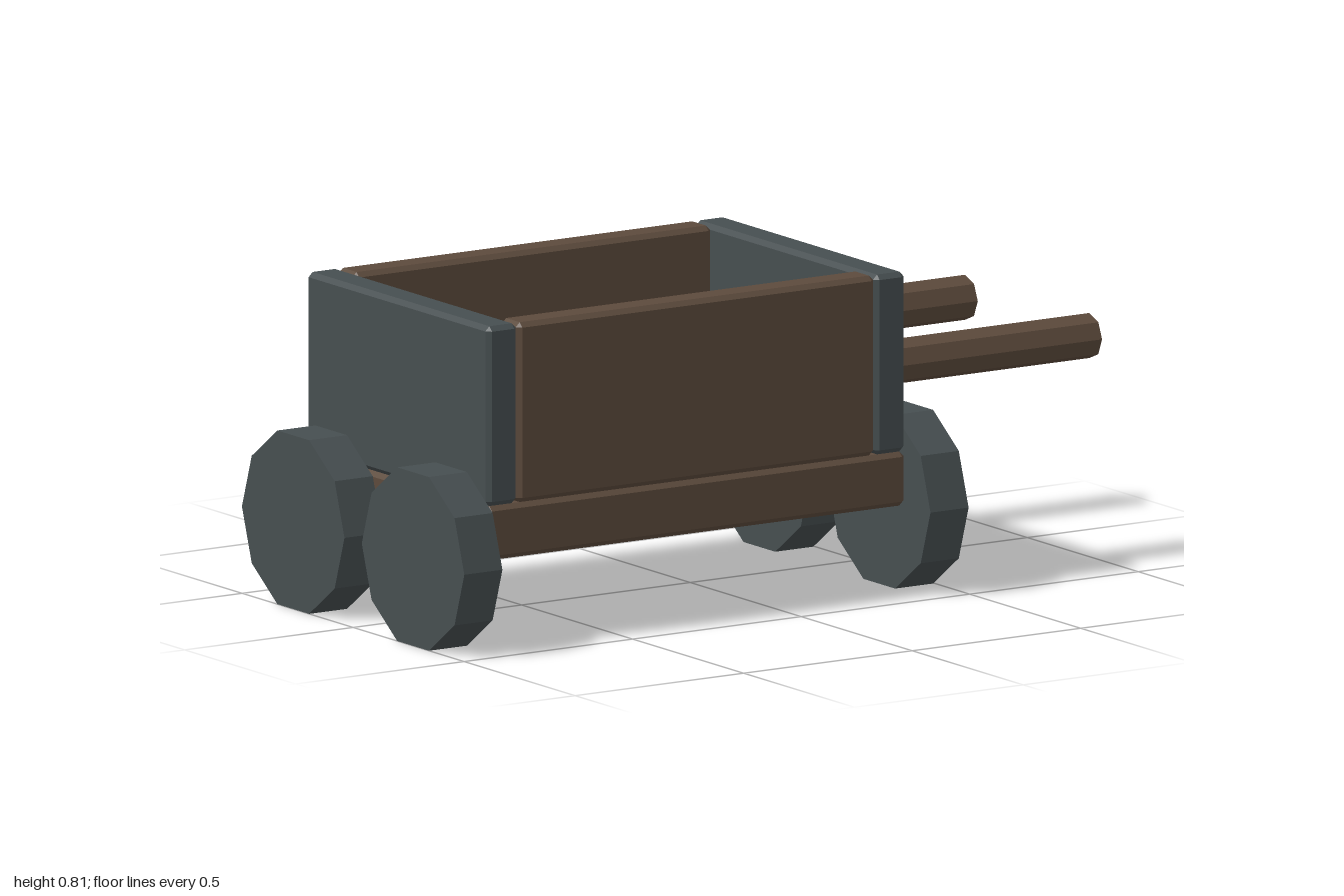
import * as THREE from 'three';
import { ConvexGeometry } from 'three/addons/geometries/ConvexGeometry.js';

const wood = new THREE.MeshStandardMaterial({ color: 0x5c4a3c, flatShading: true });
const iron = new THREE.MeshStandardMaterial({ color: 0x464e50, flatShading: true });

// Box between two corners with all edges chamfered by c
function chamferBox(name, min, max, c, material) {
  const size = max.map((v, i) => (v - min[i]) / 2);
  const points = [];
  for (const sx of [-1, 1]) for (const sy of [-1, 1]) for (const sz of [-1, 1]) {
    for (let axis = 0; axis < 3; axis++) {
      const inset = size.map((h, i) => (i === axis ? h : h - c));
      points.push(new THREE.Vector3(sx * inset[0], sy * inset[1], sz * inset[2]));
    }
  }
  const mesh = new THREE.Mesh(new ConvexGeometry(points), material);
  mesh.position.set(...max.map((v, i) => (v + min[i]) / 2));
  mesh.name = name;
  return mesh;
}

// Faceted cylinder lying along x from x0 to x1
function rod(name, x0, x1, y, z, radius, sides, material) {
  const geometry = new THREE.CylinderGeometry(radius, radius, x1 - x0, sides);
  geometry.rotateZ(Math.PI / 2);
  const mesh = new THREE.Mesh(geometry, material);
  mesh.position.set((x0 + x1) / 2, y, z);
  mesh.name = name;
  return mesh;
}

export function createModel() {
  const cart = new THREE.Group();
  cart.name = 'handcart';

  // Floor and the two end panels
  cart.add(chamferBox('floor', [-0.87, 0.223, -0.41], [0.37, 0.36, 0.41], 0.012, wood));
  cart.add(chamferBox('rightEndPanel', [-0.87, 0.36, -0.41], [-0.78, 0.815, 0.41], 0.012, iron));
  cart.add(chamferBox('leftEndPanel', [0.28, 0.36, -0.41], [0.37, 0.815, 0.41], 0.012, iron));

  // Side panels, handles and wheels, mirrored front to back
  for (const [label, s] of [['front', 1], ['back', -1]]) {
    const z = [s * 0.325, s * 0.41].sort((a, b) => a - b);
    cart.add(chamferBox(label + 'SidePanel', [-0.78, 0.36, z[0]], [0.28, 0.815, z[1]], 0.012, wood));
    cart.add(rod(label + 'Handle', 0.35, 1, 0.56, s * 0.28, 0.057, 8, wood));
    cart.add(rod(label + 'RightWheel', -1, -0.887, 0.22, s * 0.27, 0.231, 10, iron));
    cart.add(rod(label + 'LeftWheel', 0.383, 0.496, 0.22, s * 0.27, 0.231, 10, iron));
  }
  return cart;
}
